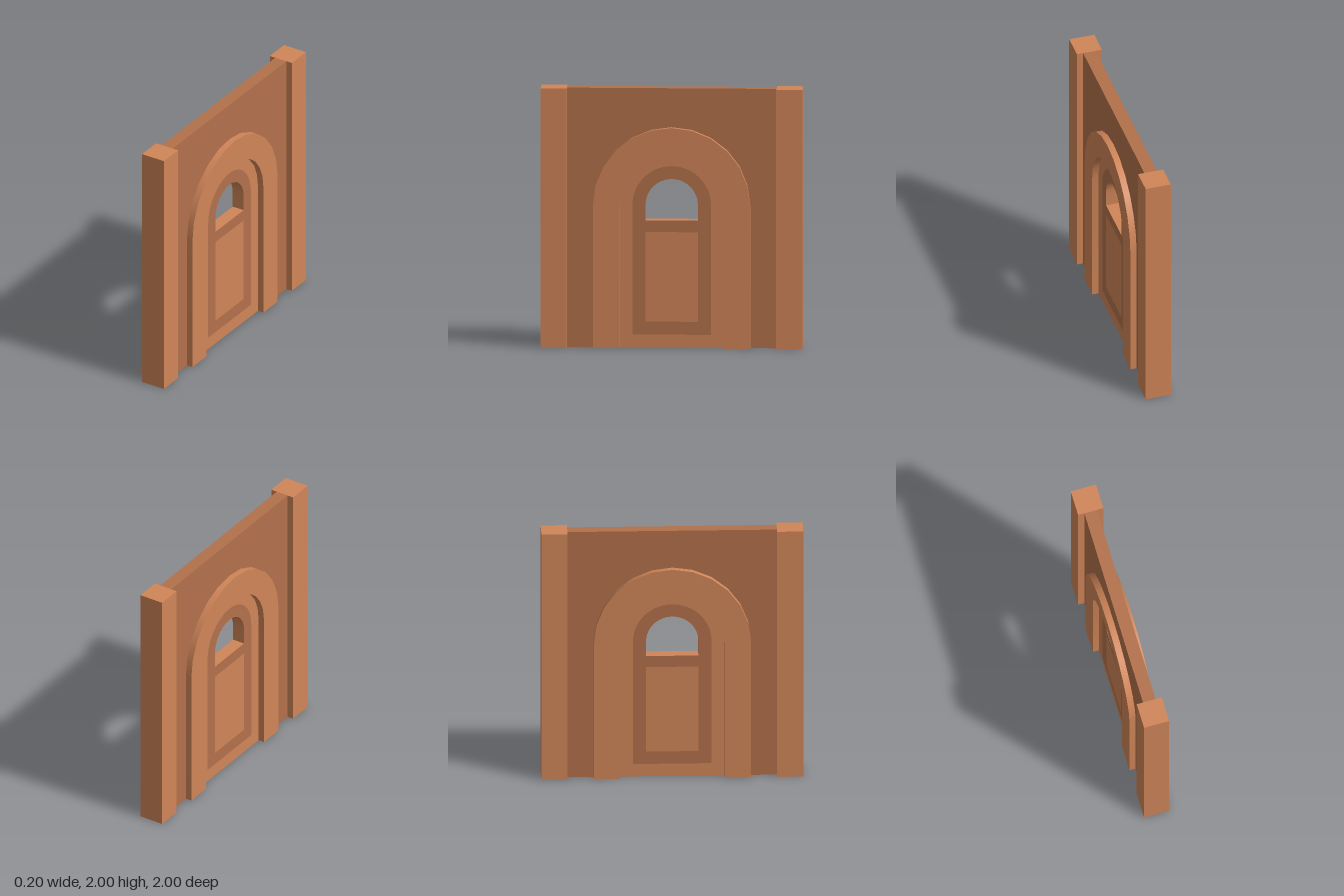
import * as THREE from 'three';
import { toCreasedNormals } from 'three/addons/utils/BufferGeometryUtils.js';

const SPRING = 1.1; // height where every arch starts to curve

// Round-headed outline from the right foot over the top to the left foot
function archPoints(radius, base, segments = 12) {
  const points = [new THREE.Vector2(radius, base)];
  for (let i = 0; i <= segments; i++) {
    const a = (Math.PI * i) / segments;
    points.push(new THREE.Vector2(radius * Math.cos(a), SPRING + radius * Math.sin(a)));
  }
  points.push(new THREE.Vector2(-radius, base));
  return points;
}

function rectPoints(halfWidth, bottom, top) {
  return [[-halfWidth, bottom], [halfWidth, bottom], [halfWidth, top], [-halfWidth, top]]
    .map(([u, v]) => new THREE.Vector2(u, v));
}

export function createModel() {
  const group = new THREE.Group();
  const light = new THREE.MeshStandardMaterial({ color: 0xd08558 });
  const dark = new THREE.MeshStandardMaterial({ color: 0xb3714b });

  // Extrude an outline across the thickness, centred on x = 0
  function slab(name, outline, holes, thickness, material) {
    const shape = new THREE.Shape(outline);
    for (const hole of holes) shape.holes.push(new THREE.Path(hole));
    const geometry = new THREE.ExtrudeGeometry(shape, { depth: thickness, bevelEnabled: false });
    geometry.translate(0, 0, -thickness / 2);
    geometry.rotateY(Math.PI / 2);
    const mesh = new THREE.Mesh(toCreasedNormals(geometry, 0.5), material);
    mesh.name = name;
    group.add(mesh);
  }

  // Wall around the archway, open to the floor
  const wallOutline = [
    new THREE.Vector2(0.8, 0), new THREE.Vector2(0.8, 2),
    new THREE.Vector2(-0.8, 2), new THREE.Vector2(-0.8, 0),
    ...archPoints(0.6, 0).reverse(),
  ];
  slab('wall', wallOutline, [], 0.1, dark);

  // Raised arch moulding
  slab('archMoulding', [...archPoints(0.6, 0), ...archPoints(0.4, 0).reverse()], [], 0.2, light);

  // Door: outer frame, darker inlay with the window opening, lower panel
  const inlay = archPoints(0.3, 0.1, 24);
  const panel = rectPoints(0.2, 0.2, 0.89);
  const windowOpening = archPoints(0.2, 0.98, 24);
  slab('doorFrame', archPoints(0.4, 0), [inlay], 0.1, light);
  slab('doorInlay', inlay, [panel, windowOpening], 0.1, [dark, light]);
  slab('doorPanel', panel, [], 0.1, light);

  // Square pillars at both ends
  for (const side of [1, -1]) {
    const pillar = new THREE.Mesh(new THREE.BoxGeometry(0.2, 2, 0.2), light);
    pillar.name = side > 0 ? 'frontPillar' : 'backPillar';
    pillar.position.set(0, 1, side * 0.9);
    group.add(pillar);
  }

  return group;
}
